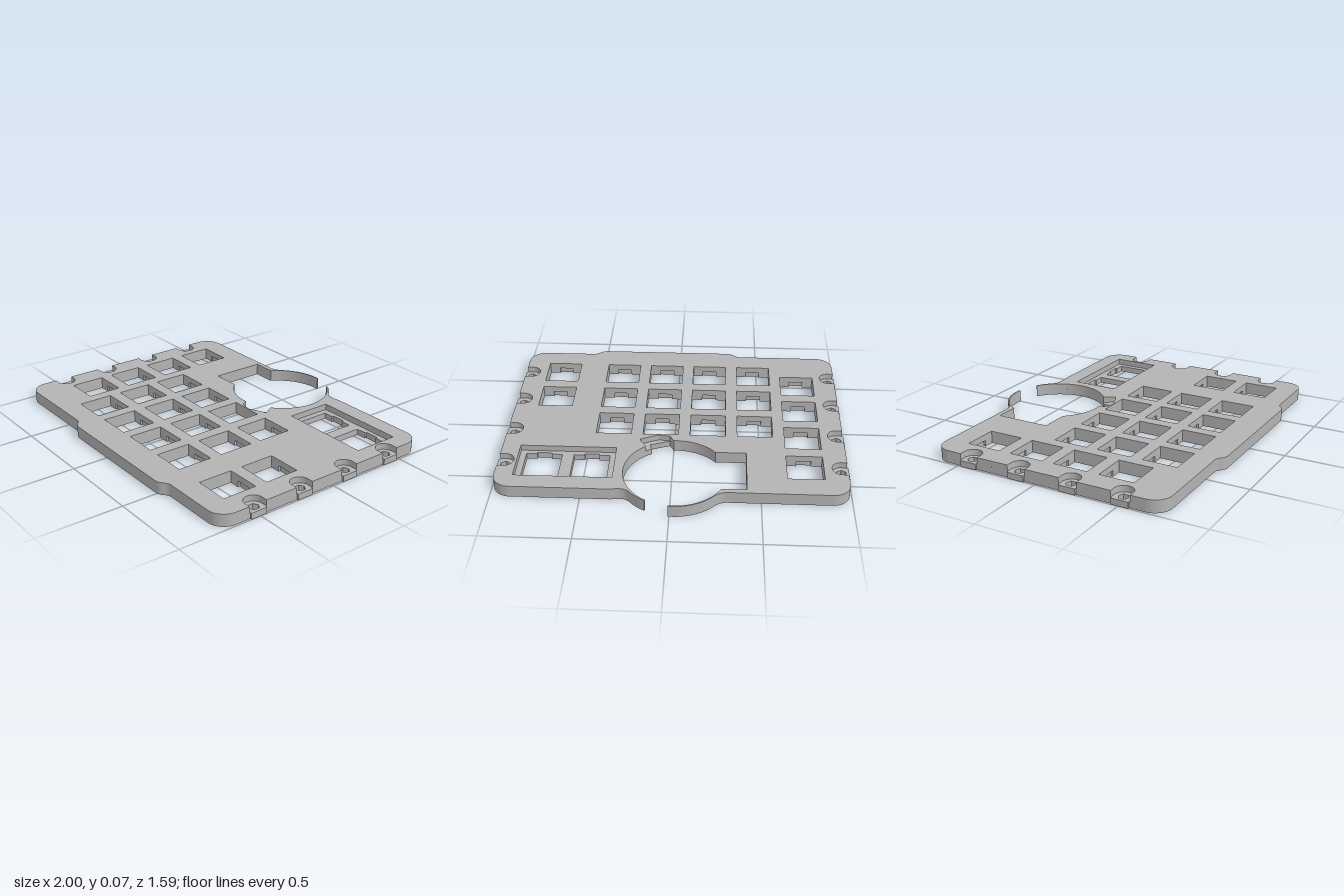
import * as THREE from 'three';
import { toCreasedNormals } from 'three/addons/utils/BufferGeometryUtils.js';

const SPLIT = 0.036, TOP = 0.072;          // height of the inner step and of the plate
const CX = -0.02, CV = 0.5, R = 0.294;     // round opening (v = -z)
const SCREWS = [-0.51, -0.2, 0.12, 0.43];
const rad = THREE.MathUtils.degToRad;

// Closed path from a list of corners
function poly(points) {
  return new THREE.Path(points.map(([x, v]) => new THREE.Vector2(x, v)));
}
const rect = (x0, x1, v0, v1) => poly([[x0, v0], [x1, v0], [x1, v1], [x0, v1]]);

// Square switch opening; clips adds the shallow catches front and back
function keyHole(x, z, frontClip = false, backClip = false) {
  const h = 0.104, c = 0.042, d = h + 0.012, v = -z;
  const p = [[-h, -h]];
  if (frontClip) p.push([-c, -h], [-c, -d], [c, -d], [c, -h]);
  p.push([h, -h], [h, h]);
  if (backClip) p.push([c, h], [c, d], [-c, d], [-c, h]);
  p.push([-h, h]);
  return poly(p.map(([a, b]) => [x + a, v + b]));
}

// Screw point on a side edge: a tab below, an open round pocket above
function screwEdge(s, side, c, upper) {
  if (upper) {
    s.lineTo(side * 0.99, c - side * 0.055);
    s.lineTo(side * 0.955, c - side * 0.055);
    s.absarc(side * 0.955, c, 0.055, -side * Math.PI / 2, side * Math.PI / 2, true);
    s.lineTo(side * 0.99, c + side * 0.055);
  } else {
    for (const [x, k] of [[0.99, -1], [1, -1], [1, 1], [0.99, 1]]) {
      s.lineTo(side * x, c + side * k * 0.05);
    }
  }
}

// Outline of the plate, including the round opening that breaks through the back
function outline(upper) {
  const s = new THREE.Shape();
  s.moveTo(-0.89, -0.75);
  s.lineTo(-0.4, -0.75);
  s.bezierCurveTo(-0.35, -0.75, -0.36, -0.79, -0.3, -0.79);
  s.lineTo(0.48, -0.79);
  s.bezierCurveTo(0.54, -0.79, 0.53, -0.75, 0.58, -0.75);
  s.lineTo(0.89, -0.75);
  s.absarc(0.89, -0.65, 0.1, -Math.PI / 2, 0, false);
  SCREWS.forEach(c => screwEdge(s, 1, c, upper));
  s.absarc(0.89, 0.57, 0.1, 0, Math.PI / 2, false);
  // right horn
  s.lineTo(0.33, 0.67);
  s.bezierCurveTo(0.28, 0.66, 0.25, 0.66, 0.225, 0.685);
  s.quadraticCurveTo(0.185, 0.732, 0.137, 0.758);
  // round opening with the notch at its front
  s.absarc(CX, CV, R, rad(59), rad(upper ? -52 : -60), true);
  const notch = upper
    ? [[0.2, 0.2], [0.09, 0.152], [0.025, 0.163]]
    : [[0.14, 0.205], [0.025, 0.163]];
  notch.forEach(([x, v]) => s.lineTo(x, v));
  s.absarc(CX, CV, R, rad(-86), rad(-139.8), true);
  s.lineTo(-0.42, 0.31);
  s.lineTo(-0.42, 0.64);
  s.absarc(CX, CV, R, rad(151.5), rad(85), true);
  // thin rim on the left
  s.absarc(CX, CV, R + 0.007, rad(85), rad(139), false);
  s.quadraticCurveTo(-0.28, 0.67, -0.315, 0.67);
  s.lineTo(-0.89, 0.67);
  s.absarc(-0.89, 0.57, 0.1, Math.PI / 2, Math.PI, false);
  [...SCREWS].reverse().forEach(c => screwEdge(s, -1, c, upper));
  s.absarc(-0.89, -0.65, 0.1, Math.PI, Math.PI * 1.5, false);
  return s;
}

// Extrude a plan shape upward between two heights
function slab(shape, y0, y1, material, name) {
  let g = new THREE.ExtrudeGeometry(shape, { depth: y1 - y0, bevelEnabled: false, curveSegments: 28 });
  g.rotateX(-Math.PI / 2);
  g.translate(0, y0, 0);
  g = toCreasedNormals(g, 0.5);
  const mesh = new THREE.Mesh(g, material);
  mesh.name = name;
  return mesh;
}

export function createModel() {
  const group = new THREE.Group();
  group.name = 'switchPlate';
  const grey = new THREE.MeshStandardMaterial({ color: 0xb3b3b3 });
  grey.name = 'grey';

  // Switch positions
  const keys = [];
  for (const z of [-0.43, -0.149, 0.13, 0.41]) keys.push([-0.75, z]);
  for (const z of [-0.042, 0.234, 0.515]) {
    for (const x of [-0.474, -0.196, 0.081, 0.359]) keys.push([x, z]);
    if (z > 0) keys.push([0.746, z]);
  }
  const panelKeys = [[0.468, -0.425], [0.745, -0.425]];

  // Lower layer: clip catches, screw tabs with hexagonal holes, underside slits
  const lower = outline(false);
  for (const [x, z] of [...keys, ...panelKeys]) {
    const besideNotch = x === 0.081 && z < 0;
    lower.holes.push(keyHole(x, z, true, !besideNotch));
  }
  for (const side of [-1, 1]) {
    for (const c of SCREWS) {
      const hex = [];
      for (let i = 0; i < 6; i++) {
        const a = rad(30 + 60 * i);
        hex.push([side * 0.955 + 0.03 * Math.cos(a), c + 0.03 * Math.sin(a)]);
      }
      lower.holes.push(poly(hex));
    }
  }
  for (const x of [-0.057, 0.22]) lower.holes.push(rect(x - 0.01, x + 0.01, -0.66, -0.37));
  group.add(slab(lower, 0, SPLIT, grey, 'lowerPlate'));

  // Upper layer: plain switch holes, screw pockets and the recessed panel
  const upper = outline(true);
  for (const [x, z] of keys) upper.holes.push(keyHole(x, z));
  upper.holes.push(rect(0.328, 0.885, 0.29, 0.567));
  group.add(slab(upper, SPLIT, TOP, grey, 'upperPlate'));

  return group;
}
